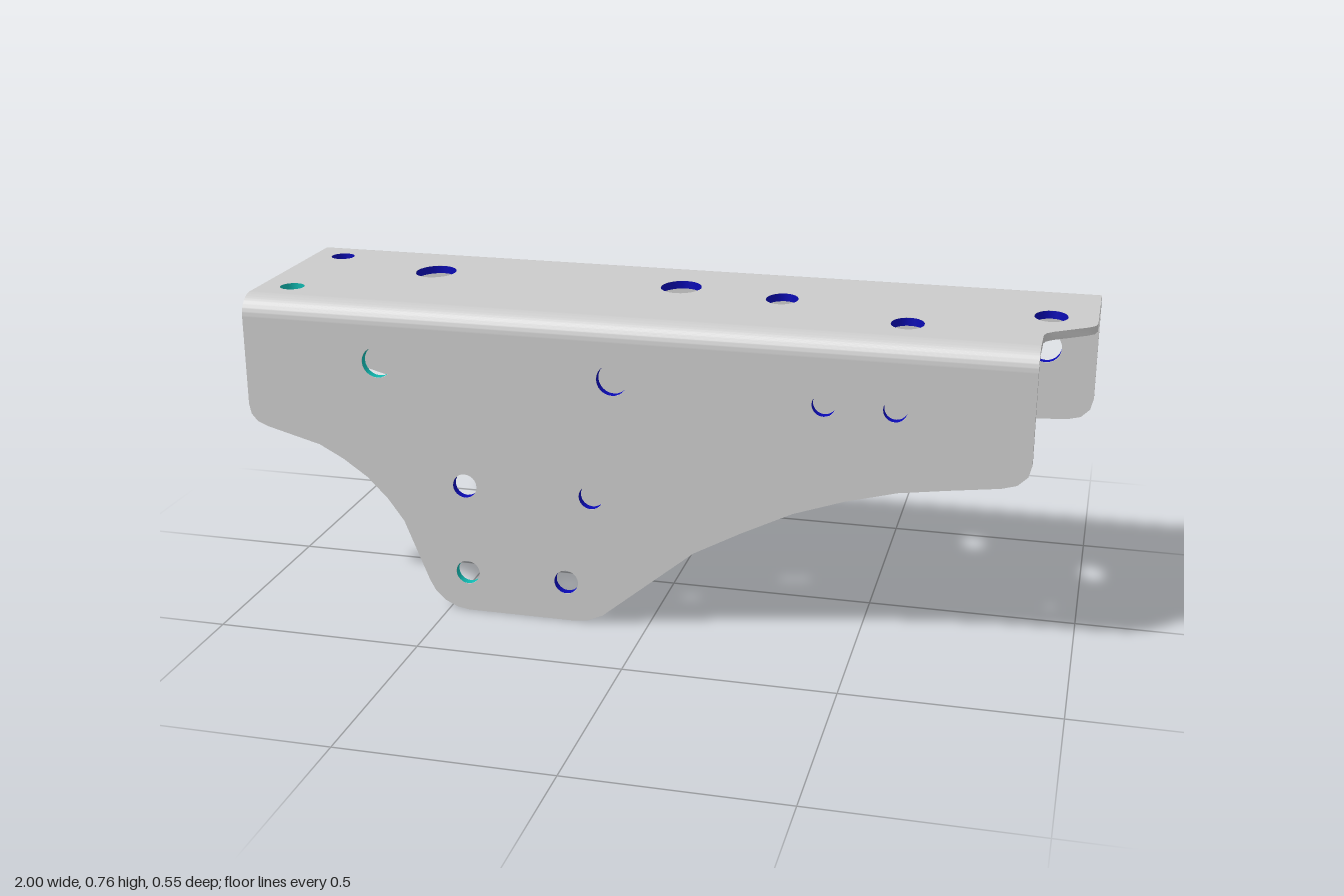
import * as THREE from 'three';
import { toCreasedNormals } from 'three/addons/utils/BufferGeometryUtils.js';

const T = 0.019;      // sheet thickness
const H = 0.76;       // overall height
const D = 0.275;      // half depth
const R = 0.05;       // outer bend radius
const BLUE = 0x0a0ab4, CYAN = 0x10b8b0, RED = 0xd07070;

const steel = new THREE.MeshStandardMaterial({ color: 0xcccccc });

function extrude(shape, depth) {
  const geo = new THREE.ExtrudeGeometry(shape, { depth, bevelEnabled: false, curveSegments: 12 });
  return toCreasedNormals(geo, Math.PI / 6);
}

// Flat sheet with elliptical holes [x, y, rx, ry, wall colour]
function plate(name, points, holes) {
  const group = new THREE.Group();
  group.name = name;
  const shape = new THREE.Shape(points.map(([x, y]) => new THREE.Vector2(x, y)));
  for (const [x, y, rx, ry, color] of holes) {
    const hole = new THREE.Path();
    hole.absellipse(x, y, rx, ry, 0, Math.PI * 2, true);
    shape.holes.push(hole);
    // coloured wall lining the hole, seen from inside
    const wall = new THREE.CylinderGeometry(1, 1, T, 24, 1, true)
      .rotateX(Math.PI / 2).scale(rx * 0.98, ry * 0.98, 1).translate(x, y, T / 2);
    const lining = new THREE.Mesh(wall, new THREE.MeshStandardMaterial({ color, side: THREE.BackSide }));
    lining.name = 'holeWall';
    group.add(lining);
  }
  const sheet = new THREE.Mesh(extrude(shape, T), steel);
  sheet.name = name + 'Sheet';
  group.add(sheet);
  return group;
}

// Quarter-round fold running along x from -1 to end
function bend(name, side, end) {
  const shape = new THREE.Shape();
  const a0 = side < 0 ? 0 : Math.PI / 2, a1 = a0 + Math.PI / 2;
  const cx = -side * (D - R), cy = H - R;
  shape.absarc(cx, cy, R, a0, a1, false);
  shape.absarc(cx, cy, R - T, a1, a0, true);
  const geo = extrude(shape, end + 1).rotateY(Math.PI / 2).translate(-1, 0, 0);
  const mesh = new THREE.Mesh(geo, steel);
  mesh.name = name;
  return mesh;
}

export function createModel() {
  const model = new THREE.Group();
  model.name = 'channelBracket';

  // Lower edge shared by both side walls, from the short end to the long sweep
  const edge = [
    [-1, H - R], [-1, 0.49], [-0.995, 0.465], [-0.98, 0.447], [-0.955, 0.436],
    [-0.82, 0.4], [-0.76, 0.368], [-0.7, 0.326], [-0.65, 0.275], [-0.61, 0.22],
    [-0.55, 0.07], [-0.535, 0.042], [-0.51, 0.019], [-0.48, 0.005], [-0.45, 0],
    [-0.18, 0], [-0.145, 0.005], [-0.11, 0.021], [0, 0.112], [0.115, 0.207],
    [0.23, 0.27], [0.35, 0.33], [0.47, 0.372], [0.59, 0.404],
  ];
  const frontEnd = [[0.7, 0.42], [0.82, 0.436], [0.855, 0.446], [0.878, 0.468], [0.885, 0.495], [0.885, H - R]];
  const backEnd = [[0.72, 0.42], [0.94, 0.433], [0.972, 0.441], [0.993, 0.462], [1, 0.49], [1, H - R]];

  // Lower mounting holes, the same in both walls
  const mounts = [
    [-0.45, 0.325, 0.03, 0.03, BLUE], [-0.135, 0.325, 0.03, 0.03, BLUE],
    [-0.45, 0.1, 0.03, 0.03, CYAN], [-0.2, 0.1, 0.03, 0.03, BLUE],
  ];

  const front = plate('frontWall', [...edge, ...frontEnd], [
    ...mounts,
    [-0.66, 0.62, 0.038, 0.038, CYAN], [-0.08, 0.62, 0.038, 0.038, BLUE],
    [0.415, 0.6, 0.028, 0.028, BLUE], [0.577, 0.6, 0.028, 0.028, BLUE],
  ]);
  front.position.z = D - T;

  const back = plate('backWall', [...edge, ...backEnd], [
    ...mounts,
    [-0.885, 0.58, 0.03, 0.03, RED], [-0.54, 0.58, 0.03, 0.03, BLUE],
    [-0.2, 0.583, 0.03, 0.03, BLUE], [0.05, 0.615, 0.038, 0.038, BLUE],
    [0.607, 0.58, 0.03, 0.03, BLUE], [0.877, 0.613, 0.038, 0.038, BLUE],
  ]);
  back.position.z = -D;

  // Top web, drawn with y towards the back; its front end corner is notched
  const w = D - R;
  const top = plate('topWeb', [
    [-1, -w], [0.885, -w], [0.885, -0.145], [0.89, -0.128], [0.905, -0.112],
    [0.98, -0.058], [0.995, -0.042], [1, -0.02], [1, w], [-1, w],
  ], [
    [-0.92, 0.152, 0.03, 0.03, BLUE], [-0.92, -0.157, 0.03, 0.03, CYAN],
    [-0.63, 0.062, 0.05, 0.059, BLUE], [0.003, 0.064, 0.05, 0.059, BLUE],
    [0.262, 0.016, 0.039, 0.05, BLUE], [0.579, -0.123, 0.039, 0.049, BLUE],
    [0.893, 0.016, 0.039, 0.049, BLUE],
  ]);
  top.rotation.x = -Math.PI / 2;
  top.position.y = H - T;

  model.add(front, back, top, bend('frontBend', 1, 0.885), bend('backBend', -1, 1));
  return model;
}
